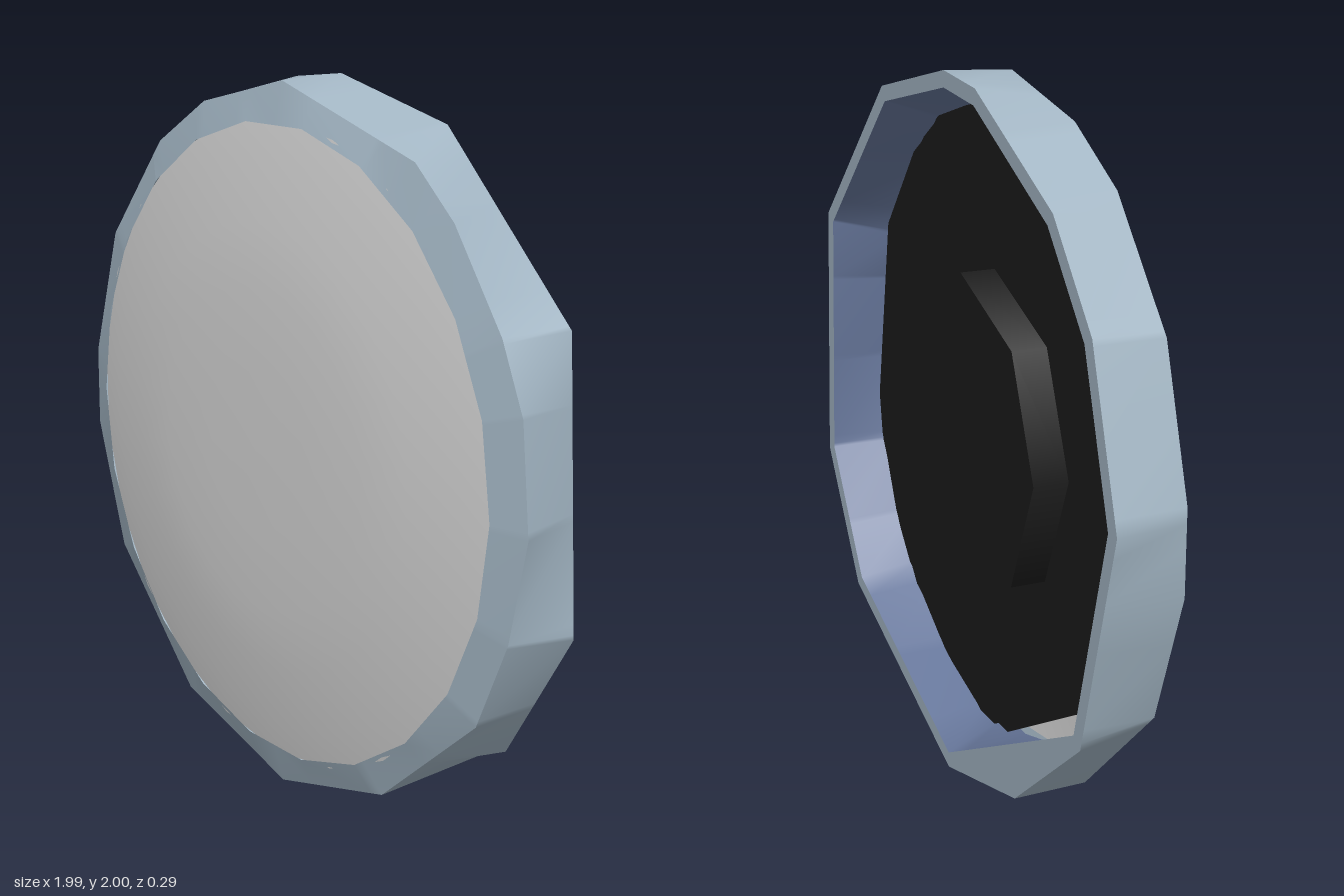
import * as THREE from 'three';
import { mergeGeometries } from 'three/addons/utils/BufferGeometryUtils.js';

const TAU = Math.PI * 2;

// Outlines as [x, y] corners about the centre, anticlockwise from the front
const backOutline = [[0.955, -0.32], [0.91, 0.45], [0.44, 0.9], [0, 1], [-0.2, 0.98], [-0.65, 0.75],
  [-0.86, 0.5], [-1, 0.06], [-0.83, -0.56], [-0.45, -0.88], [0, -1], [0.72, -0.7]];
const frontOutline = [[0.99, -0.02], [0.96, 0.27], [0.88, 0.45], [0.7, 0.7], [0.55, 0.83], [0, 0.99],
  [-0.37, 0.91], [-0.6, 0.78], [-0.86, 0.48], [-0.98, 0.1], [-0.98, -0.13], [-0.85, -0.5],
  [-0.48, -0.86], [0, -0.99], [0.45, -0.87], [0.82, -0.55], [0.93, -0.3]];
const plateOutline = [[0.91, -0.31], [0.78, 0.43], [0.445, 0.83], [0.11, 0.92], [-0.27, 0.85],
  [-0.84, 0.18], [-0.73, -0.51], [0, -0.93], [0.545, -0.75]];
const lipOutline = backOutline.filter((_, i) => i !== 9).map(([x, y]) => [x * 0.955, y * 0.955]);
const circle = (r, n) => Array.from({ length: n }, (_, i) => [r * Math.cos(i / n * TAU), r * Math.sin(i / n * TAU)]);
const bezelOutline = circle(0.885, 22);

// All corner directions, so that every ring keeps its exact corners
const angles = [...new Set([backOutline, frontOutline, lipOutline, bezelOutline].flat()
  .map(([x, y]) => +((Math.atan2(y, x) + TAU) % TAU).toFixed(4)))].sort((a, b) => a - b);

// Point where a ray from the centre crosses an outline
function pointAt(outline, a) {
  const c = Math.cos(a), s = Math.sin(a);
  for (let i = 0; i < outline.length; i++) {
    const [x0, y0] = outline[i], [x1, y1] = outline[(i + 1) % outline.length];
    const dx = x1 - x0, dy = y1 - y0, d = c * dy - s * dx;
    const t = (s * x0 - c * y0) / d, r = (x0 * dy - y0 * dx) / d;
    if (t >= -1e-3 && t <= 1.001 && r > 0) return [r * c, r * s];
  }
  return [c, s];
}

// Band of faces between two outlines; smooth around, sharp at its edges
function band(outA, zA, outB, zB) {
  const pos = [], idx = [], n = angles.length;
  for (const a of angles) pos.push(...pointAt(outA, a), zA, ...pointAt(outB, a), zB);
  for (let i = 0; i < n; i++) {
    const a = 2 * i, b = 2 * ((i + 1) % n);
    idx.push(a, b, a + 1, b, b + 1, a + 1);
  }
  const g = new THREE.BufferGeometry();
  g.setAttribute('position', new THREE.Float32BufferAttribute(pos, 3));
  g.setIndex(idx);
  g.computeVertexNormals();
  return g;
}

export function createModel() {
  const mat = (name, color, side = THREE.FrontSide) => {
    const m = new THREE.MeshStandardMaterial({ color, side });
    m.name = name;
    return m;
  };
  const rimBlue = mat('paleBlueGrey', 0xa3b6c4, THREE.DoubleSide);
  const innerBlue = mat('slateBlue', 0x66769a, THREE.DoubleSide);
  const faceGrey = mat('lightGrey', 0xd4d4d4, THREE.DoubleSide);
  const black = mat('black', 0x1c1c1c, THREE.DoubleSide);

  const model = new THREE.Group();
  const body = new THREE.Group();
  body.name = 'disc';
  body.position.y = 1;
  model.add(body);
  const add = (name, geometry, material) => {
    const m = new THREE.Mesh(geometry, material);
    m.name = name;
    body.add(m);
    return m;
  };

  // Outer rim: back lip, side wall and sloping front bezel
  add('rim', mergeGeometries([
    band(lipOutline, -0.145, backOutline, -0.145),
    band(backOutline, -0.145, frontOutline, 0.05),
    band(frontOutline, 0.05, bezelOutline, 0.08),
  ]), rimBlue);

  // Wall inside the open back
  add('innerWall', band(bezelOutline, 0.04, lipOutline, -0.145), innerBlue);

  // Shallow domed front
  const profile = [[0.895, 0.074], [0.8, 0.092], [0.62, 0.118], [0.45, 0.134], [0.22, 0.14], [0, 0.141]]
    .map(([r, z]) => new THREE.Vector2(r, z));
  add('domedFace', new THREE.LatheGeometry(profile, 22).rotateX(Math.PI / 2), faceGrey);

  // Recessed back plate
  const plate = new THREE.Shape(plateOutline.map(([x, y]) => new THREE.Vector2(x, y)));
  add('backPlate', new THREE.ShapeGeometry(plate), black);

  // Raised hub on the back plate
  const hub = new THREE.CylinderGeometry(0.46, 0.46, 0.1, 8).rotateX(-Math.PI / 2);
  add('backHub', hub, black).position.z = -0.05;

  return model;
}
